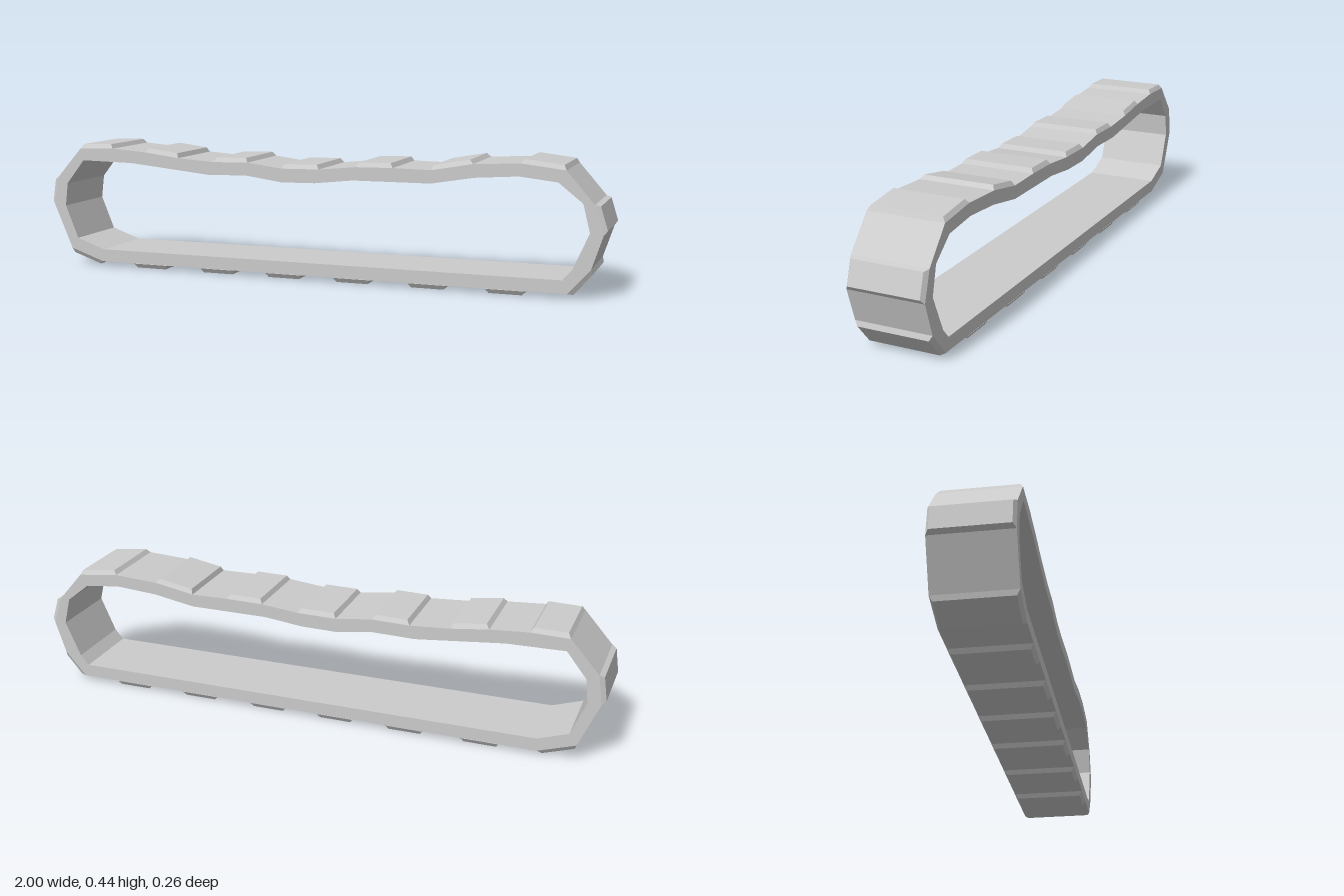
import * as THREE from 'three';

const WIDTH = 0.26, PAD_HEIGHT = 0.015, BEVEL = 0.01;

// Outer belt outline, clockwise from the top left
const outer = [
  [-0.88, 0.424], [-0.75, 0.427], [-0.62, 0.418], [-0.49, 0.402], [-0.355, 0.393], [-0.225, 0.396],
  [-0.10, 0.38], [0.035, 0.382], [0.165, 0.395], [0.295, 0.397], [0.425, 0.395], [0.565, 0.42],
  [0.72, 0.428], [0.865, 0.411], [0.956, 0.306], [0.986, 0.21], [0.95, 0.1], [0.877, 0.016],
  [-0.80, 0.016], [-0.925, 0.058], [-0.992, 0.213], [-0.977, 0.315],
];

// Inner belt outline, anticlockwise from the top left
const inner = [
  [-0.87, 0.381], [-0.938, 0.295], [-0.948, 0.213], [-0.90, 0.096], [-0.795, 0.06], [0.86, 0.06],
  [0.89, 0.094], [0.943, 0.215], [0.92, 0.308], [0.84, 0.372], [0.715, 0.386], [0.57, 0.376],
  [0.425, 0.351], [0.155, 0.35], [0.02, 0.335], [-0.10, 0.333], [-0.23, 0.351], [-0.375, 0.348],
  [-0.675, 0.378],
];

const toPoints = (list) => list.map(([x, y]) => new THREE.Vector2(x, y));

// Raised pad from a to b, tapered towards its outer face
function makePad(a, b, material) {
  const length = Math.hypot(b[0] - a[0], b[1] - a[1]);
  const geometry = new THREE.BoxGeometry(length, PAD_HEIGHT, WIDTH).translate(0, PAD_HEIGHT / 2, 0);
  const pos = geometry.attributes.position;
  for (let i = 0; i < pos.count; i++) {
    if (pos.getY(i) < PAD_HEIGHT / 2) continue;
    pos.setX(i, pos.getX(i) - Math.sign(pos.getX(i)) * BEVEL);
    pos.setZ(i, pos.getZ(i) - Math.sign(pos.getZ(i)) * BEVEL);
  }
  geometry.computeVertexNormals();
  const pad = new THREE.Mesh(geometry, material);
  pad.position.set((a[0] + b[0]) / 2, (a[1] + b[1]) / 2, 0);
  pad.rotation.z = Math.atan2(b[1] - a[1], b[0] - a[0]);
  pad.name = 'treadPad';
  return pad;
}

export function createModel() {
  const material = new THREE.MeshStandardMaterial({ color: 0xcccccc, flatShading: true });
  const group = new THREE.Group();
  group.name = 'track';

  // Belt loop
  const shape = new THREE.Shape(toPoints(outer));
  shape.holes.push(new THREE.Path(toPoints(inner)));
  const beltGeometry = new THREE.ExtrudeGeometry(shape, { depth: WIDTH, bevelEnabled: false });
  const belt = new THREE.Mesh(beltGeometry.translate(0, 0, -WIDTH / 2), material);
  belt.name = 'belt';
  group.add(belt);

  // Pads on the top run, the two ends and the lower corners
  const pads = new THREE.Group();
  pads.name = 'treadPads';
  for (const i of [0, 2, 4, 6, 8, 10, 12, 14, 16, 18, 20]) {
    pads.add(makePad(outer[i], outer[i + 1], material));
  }

  // Pads on the flat bottom run
  for (const x of [-0.607, -0.345, -0.097, 0.152, 0.414, 0.676]) {
    pads.add(makePad([x + 0.065, 0.015], [x - 0.065, 0.015], material));
  }
  group.add(pads);
  return group;
}
